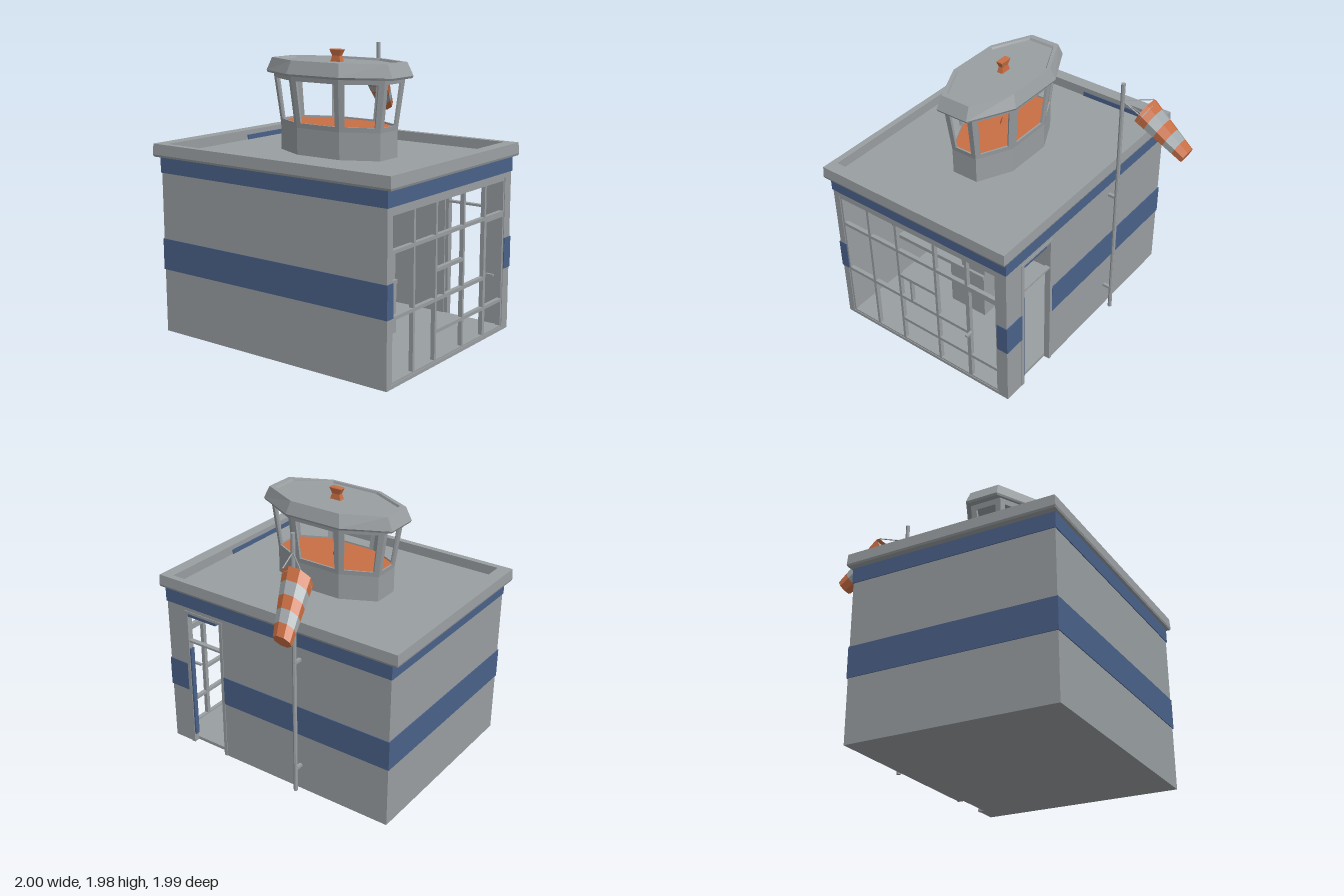
import * as THREE from 'three';

const paint = (name, color) => {
  const m = new THREE.MeshStandardMaterial({ color, side: THREE.DoubleSide, flatShading: true });
  m.name = name;
  return m;
};

export function createModel() {
  const grey = paint('concrete grey', 0x999ea1);
  const blue = paint('stripe blue', 0x4a6189);
  const orange = paint('signal orange', 0xc86e43);
  const cloth = paint('sock grey', 0xa2a9ac);

  const model = new THREE.Group();
  model.name = 'airfieldControlBuilding';

  const group = (name) => {
    const g = new THREE.Group();
    g.name = name;
    model.add(g);
    return g;
  };
  const add = (parent, name, geo, mat) => {
    const m = new THREE.Mesh(geo, mat);
    m.name = name;
    parent.add(m);
    return m;
  };
  // Box given by its extents on each axis
  const box = (parent, name, x0, x1, y0, y1, z0, z1, mat = grey) => {
    const m = add(parent, name, new THREE.BoxGeometry(x1 - x0, y1 - y0, z1 - z0), mat);
    m.position.set((x0 + x1) / 2, (y0 + y1) / 2, (z0 + z1) / 2);
  };
  // Skin between closed rings of points, with optional flat ends
  const loft = (rings, capStart = false, capEnd = false) => {
    const out = [];
    const tri = (...pts) => pts.forEach((p) => out.push(p.x, p.y, p.z));
    const n = rings[0].length;
    for (let r = 0; r + 1 < rings.length; r++) {
      for (let i = 0; i < n; i++) {
        const j = (i + 1) % n, a = rings[r], b = rings[r + 1];
        tri(a[i], b[i], b[j]);
        tri(a[i], b[j], a[j]);
      }
    }
    const cap = (q, flip) => {
      for (let i = 1; i + 1 < n; i++) flip ? tri(q[0], q[i + 1], q[i]) : tri(q[0], q[i], q[i + 1]);
    };
    if (capStart) cap(rings[0], true);
    if (capEnd) cap(rings[rings.length - 1], false);
    const g = new THREE.BufferGeometry();
    g.setAttribute('position', new THREE.Float32BufferAttribute(out, 3));
    g.computeVertexNormals();
    return g;
  };
  const rod = (parent, name, a, b, r, sides) => {
    const m = add(parent, name, new THREE.CylinderGeometry(r, r, a.distanceTo(b), sides), grey);
    m.position.copy(a).lerp(b, 0.5);
    m.quaternion.setFromUnitVectors(new THREE.Vector3(0, 1, 0), b.clone().sub(a).normalize());
  };
  const v = (x, y, z) => new THREE.Vector3(x, y, z);

  // Main building: closed rear, open glazed hall at the front
  const hall = group('building');
  box(hall, 'rearBlock', -0.97, 0.52, 0, 1.25, -0.945, -0.3);
  box(hall, 'rightWall', -0.97, -0.92, 0, 1.25, -0.3, 0.94);
  box(hall, 'floor', -0.92, 0.48, 0, 0.025, -0.3, 0.94);
  box(hall, 'roofDeck', -0.96, 0.51, 1.2, 1.265, -0.94, 0.93);
  box(hall, 'frontHeader', -0.97, 0.52, 1.1, 1.25, 0.89, 0.94);
  box(hall, 'frontCorner', 0.44, 0.52, 0, 1.1, 0.89, 0.94);
  box(hall, 'doorWallRear', 0.47, 0.52, 0, 1.25, -0.3, 0.44);
  box(hall, 'doorWallFront', 0.47, 0.52, 0, 1.25, 0.78, 0.9);
  box(hall, 'doorHeader', 0.47, 0.52, 1.1, 1.25, 0.44, 0.78);

  // Parapet around the roof
  const rect = (x0, x1, z0, z1, y) => [v(x0, y, z0), v(x0, y, z1), v(x1, y, z1), v(x1, y, z0)];
  add(hall, 'parapet', loft([
    rect(-0.96, 0.51, -0.94, 0.93, 1.245), rect(-0.995, 0.54, -0.995, 0.98, 1.245),
    rect(-1, 0.545, -1, 0.985, 1.26), rect(-0.995, 0.54, -0.995, 0.98, 1.335),
    rect(-0.95, 0.495, -0.9, 0.89, 1.335), rect(-0.95, 0.495, -0.9, 0.89, 1.26),
  ]), grey);

  // Blue stripes
  const stripes = group('blueStripes');
  const t = 0.006;
  const band = (y0, y1, gaps) => {
    box(stripes, 'backStripe', -0.97 - t, 0.52 + t, y0, y1, -0.945 - t, -0.945, blue);
    box(stripes, 'rightStripe', -0.97 - t, -0.97, y0, y1, -0.945, 0.94 + t, blue);
    const side = gaps ? [[-0.945, 0.44], [0.78, 0.94 + t]] : [[-0.945, 0.94 + t]];
    side.forEach(([a, b]) => box(stripes, 'leftStripe', 0.52, 0.52 + t, y0, y1, a, b, blue));
    const front = gaps ? [[-0.97, -0.91], [0.44, 0.52]] : [[-0.97, 0.52]];
    front.forEach(([a, b]) => box(stripes, 'frontStripe', a, b, y0, y1, 0.94, 0.94 + t, blue));
  };
  band(1.135, 1.25, false);
  band(0.45, 0.67, true);

  // Blue traces inside the parapet and on the hall wall
  box(stripes, 'rearParapetStripe', -0.15, 0.42, 1.265, 1.3, -0.9, -0.9 + t, blue);
  box(stripes, 'frontParapetStripe', -0.9, -0.15, 1.265, 1.3, 0.89 - t, 0.89, blue);
  box(stripes, 'hallWallPatch', -0.92, -0.92 + t, 0.53, 0.72, 0.15, 0.47, blue);

  // Front window grid
  const grid = group('frontWindowFrames');
  const bar = (x0, x1, y0, y1) => box(grid, 'frameBar', x0, x1, y0, y1, 0.905, 0.935);
  [-0.915, -0.67, -0.42, -0.085, 0.185, 0.435].forEach((x) => bar(x - 0.01, x + 0.01, 0, 1.1));
  [[0.025, -0.92, 0.44], [0.225, -0.42, 0.44], [0.44, -0.92, 0.185], [0.635, -0.42, -0.085],
    [0.855, -0.92, 0.44], [1.09, -0.92, 0.44]].forEach(([y, a, b]) => bar(a, b, y - 0.012, y + 0.012));
  bar(0.195, 0.425, 0.825, 0.845);
  bar(0.19, 0.205, 0.02, 0.84);
  bar(-0.325, -0.31, 0.45, 0.635);
  box(grid, 'doorHandle', 0.205, 0.225, 0.455, 0.47, 0.935, 0.99);

  // Side door frame with blue edging
  const door = group('sideDoorFrame');
  [[0.44, 0.465], [0.755, 0.785]].forEach(([a, b]) => box(door, 'doorPost', 0.48, 0.525, 0, 1.1, a, b));
  box(door, 'doorLintel', 0.48, 0.525, 1.085, 1.105, 0.44, 0.785);
  box(door, 'transom', 0.485, 0.52, 0.855, 0.87, 0.46, 0.755);
  box(door, 'postEdging', 0.485, 0.52, 0.07, 0.8, 0.742, 0.755, blue);
  box(door, 'lintelEdging', 0.485, 0.52, 1.06, 1.085, 0.5, 0.755, blue);

  // Furniture in the hall: deep counter with a cabinet and a screen
  const desk = group('receptionDesk');
  box(desk, 'deskTop', -0.91, -0.1, 0.38, 0.41, -0.3, 0.42);
  box(desk, 'deskCabinet', -0.41, -0.1, 0.025, 0.38, 0.2, 0.41);
  box(desk, 'deskScreen', -0.31, -0.1, 0.41, 0.62, 0.22, 0.4);

  // Control tower: long octagon rings around x = cx
  const tower = group('controlTower');
  const cx = -0.22;
  const oct = (hx, hz, ex, sz, y) => [
    [ex, hz], [hx, sz], [hx, -sz], [ex, -hz], [-ex, -hz], [-hx, -sz], [-hx, sz], [-ex, hz],
  ].map(([x, z]) => v(cx + x, y, z));
  add(tower, 'towerBase', loft([
    oct(0.222, 0.425, 0.1, 0.18, 1.26), oct(0.222, 0.425, 0.1, 0.18, 1.45),
  ]), grey);
  add(tower, 'cabinFloor', loft([
    oct(0.215, 0.415, 0.097, 0.175, 1.46), oct(0.215, 0.415, 0.097, 0.175, 1.472),
  ], true, true), orange);

  // Eight leaning window frames
  const low = oct(0.222, 0.425, 0.1, 0.18, 1.45);
  const high = oct(0.262, 0.475, 0.118, 0.2, 1.82);
  for (let i = 0; i < 8; i++) {
    const j = (i + 1) % 8;
    const at = (u, w, depth) => {
      const p = low[i].clone().lerp(low[j], u).lerp(high[i].clone().lerp(high[j], u), w);
      return v(cx + (p.x - cx) * (1 - depth * 4), p.y, p.z * (1 - depth * 2));
    };
    const ring = (m, w0, w1, d) => [at(m, w0, d), at(1 - m, w0, d), at(1 - m, w1, d), at(m, w1, d)];
    const m = 0.035 / low[i].distanceTo(low[j]);
    add(tower, 'towerWindowFrame', loft([
      ring(0, 0, 1, 0), ring(m, 0.09, 0.86, 0), ring(m, 0.09, 0.86, 0.015), ring(0, 0, 1, 0.015),
    ]), grey);
  }

  // Overhanging tower roof with a shallow rim
  add(tower, 'towerRoof', loft([
    oct(0.25, 0.46, 0.11, 0.195, 1.81), oct(0.275, 0.525, 0.12, 0.215, 1.8),
    oct(0.282, 0.533, 0.122, 0.22, 1.815), oct(0.252, 0.49, 0.112, 0.2, 1.905),
    oct(0.232, 0.45, 0.1, 0.185, 1.905), oct(0.226, 0.44, 0.098, 0.18, 1.89),
  ], true, true), grey);

  // Beacon on the roof and its small cone inside the cabin
  const square = (hx, hz, y) => rect(cx - hx + 0.005, cx + hx + 0.005, -0.01 - hz, hz - 0.01, y);
  add(tower, 'roofBeacon', loft([
    square(0.022, 0.044, 1.885), square(0.016, 0.03, 1.93), square(0.023, 0.048, 1.97), square(0.02, 0.044, 1.975),
  ], true, true), orange);
  const cone = add(tower, 'cabinCone', new THREE.ConeGeometry(0.026, 0.06, 4), orange);
  cone.position.set(cx, 1.5, 0);

  // Windsock pole with wall brackets
  const sock = group('windsock');
  const px = 0.583, pz = -0.235;
  rod(sock, 'pole', v(px, 0.02, pz), v(px, 1.97, pz), 0.015, 8);
  [0.2, 1.045].forEach((y) => box(sock, 'poleBracket', 0.51, px + 0.01, y - 0.01, y + 0.01, pz - 0.012, pz + 0.012));

  // Striped windsock: tapering tube whose rings stand steeper than its axis
  const start = v(0.69, 1.745, -0.352), end = v(0.978, 1.45, -0.445);
  const up = v(0.42, 0.9, 0);
  const sockRing = (s) => Array.from({ length: 8 }, (_, k) => {
    const a = (k + 0.5) * Math.PI / 4;
    const p = start.clone().lerp(end, s).addScaledVector(up, (0.09 - 0.04 * s) * Math.sin(a));
    p.z += (0.116 - 0.046 * s) * Math.cos(a);
    return p;
  });
  for (let i = 0; i < 5; i++) {
    add(sock, 'sockStripe', loft([sockRing(i / 5), sockRing((i + 1) / 5)], false, i === 4), i % 2 ? cloth : orange);
  }
  add(sock, 'sockLining', loft([sockRing(0.06), sockRing(0.07)], true), cloth);
  const mouth = sockRing(0);
  [0, 2, 5].forEach((k) => rod(sock, 'sockLine', v(px, 1.84, pz), mouth[k], 0.005, 5));

  return model;
}
